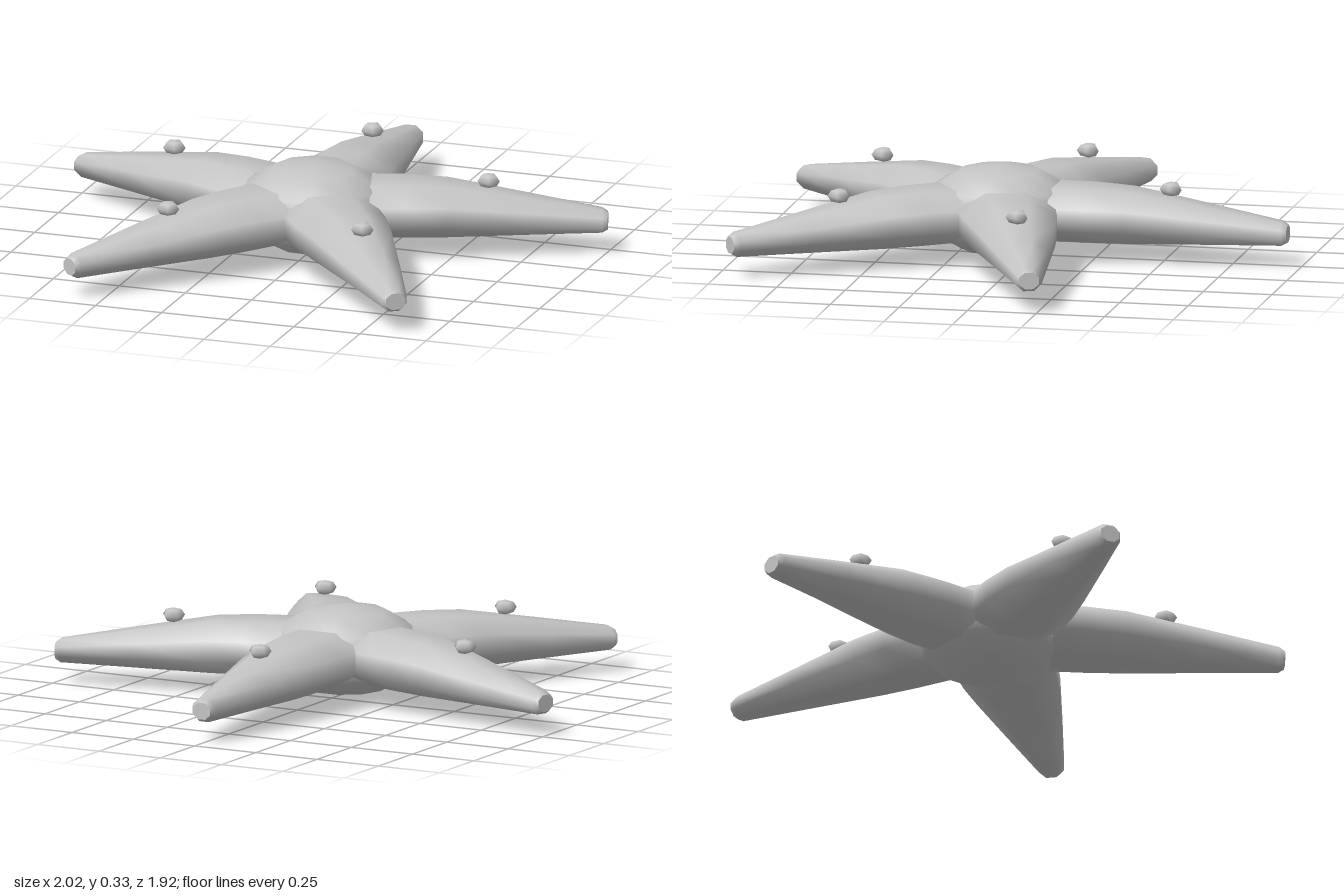
import * as THREE from 'three';

const SIDES = 8;
// arm cross-sections: distance from centre, half width, bottom y, top y
const SECTIONS = [
  [0.205, 0.178, 0.073, 0.266],
  [0.34, 0.17, 0.072, 0.266],
  [0.48, 0.15, 0.072, 0.259],
  [0.76, 0.098, 0.077, 0.212],
  [1.03, 0.046, 0.081, 0.165],
  [1.05, 0.036, 0.092, 0.152],
];

// lofted arm along +z with closed ends
function armGeometry() {
  const pos = [], index = [];
  const ring = ([d, w, lo, hi]) => {
    const start = pos.length / 3, k = Math.cos(Math.PI / SIDES);
    for (let j = 0; j < SIDES; j++) {
      const a = ((j + 0.5) / SIDES) * Math.PI * 2;
      pos.push((w / k) * Math.cos(a), (lo + hi) / 2 + ((hi - lo) / 2 / k) * Math.sin(a), d);
    }
    return start;
  };
  const starts = SECTIONS.map(ring);
  for (let i = 0; i < starts.length - 1; i++) {
    for (let j = 0; j < SIDES; j++) {
      const n = (j + 1) % SIDES, s = starts[i], t = starts[i + 1];
      index.push(s + j, s + n, t + n, s + j, t + n, t + j);
    }
  }
  const cap = (section, flip) => {
    const s = ring(section);
    for (let j = 1; j < SIDES - 1; j++) {
      index.push(s, flip ? s + j + 1 : s + j, flip ? s + j : s + j + 1);
    }
  };
  cap(SECTIONS[0], true);
  cap(SECTIONS[SECTIONS.length - 1], false);
  const geo = new THREE.BufferGeometry();
  geo.setAttribute('position', new THREE.Float32BufferAttribute(pos, 3));
  geo.setIndex(index);
  geo.computeVertexNormals();
  return geo;
}

export function createModel() {
  const model = new THREE.Group();
  const grey = new THREE.MeshStandardMaterial({ color: 0xc4c4c4 });
  grey.name = 'grey';
  const star = new THREE.Group();
  star.name = 'star';
  star.position.z = 0.1;
  model.add(star);

  const add = (name, geometry) => {
    const mesh = new THREE.Mesh(geometry, grey);
    mesh.name = name;
    star.add(mesh);
    return mesh;
  };

  // flattened central body
  const body = add('body', new THREE.SphereGeometry(1, 10, 6));
  body.scale.set(0.285, 0.163, 0.285);
  body.position.y = 0.168;

  // five arms, each with a small bump on top
  const arm = armGeometry();
  const bump = new THREE.SphereGeometry(0.042, 5, 4).rotateY(Math.PI).scale(1, 0.64, 1);
  for (let i = 0; i < 5; i++) {
    const angle = Math.PI + (i * Math.PI * 2) / 5;
    add('arm', arm).rotation.y = angle;
    add('bump', bump).position.set(Math.sin(angle) * 0.625, 0.266, Math.cos(angle) * 0.625);
  }
  return model;
}
